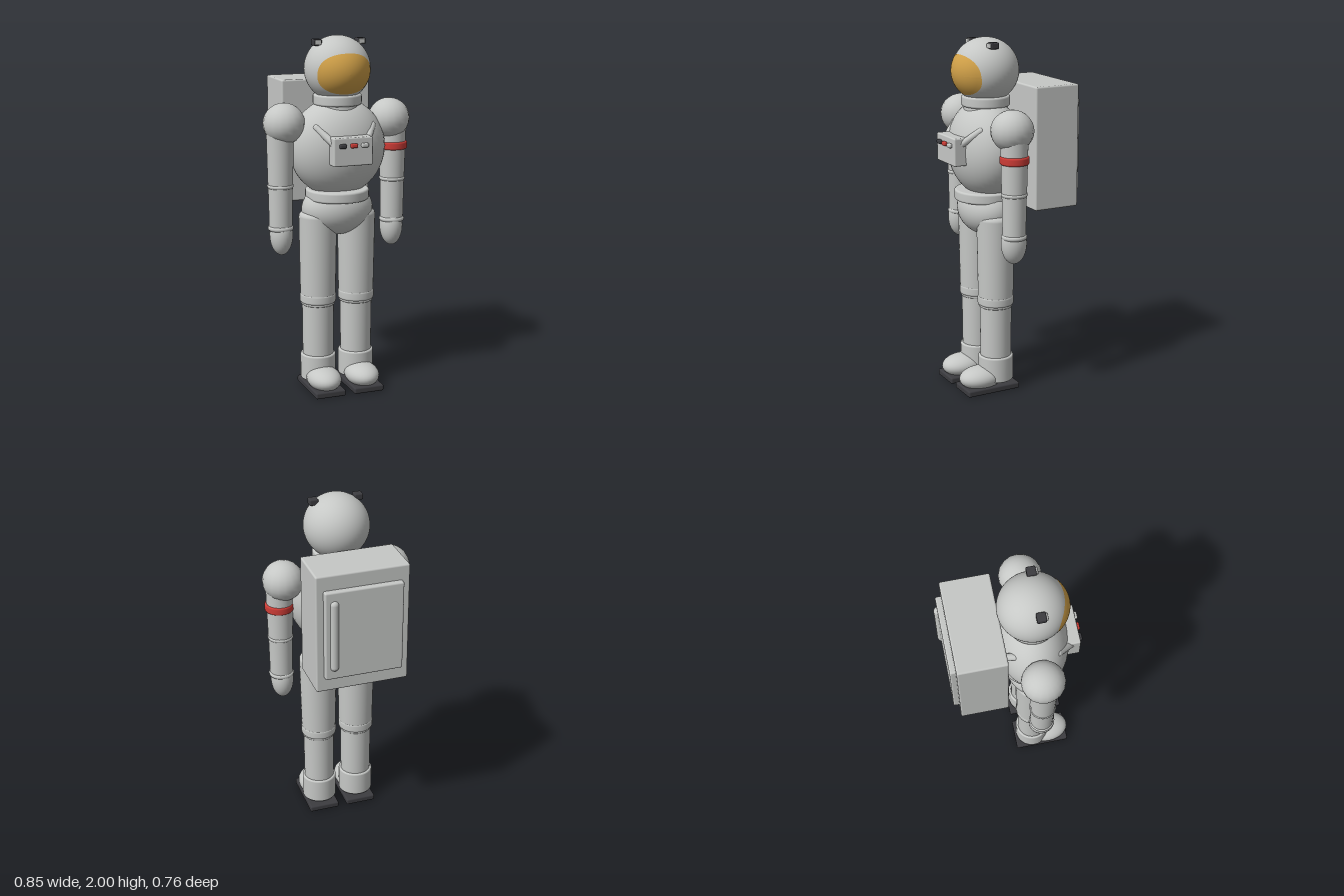
import * as THREE from 'three';
import { RoundedBoxGeometry } from 'three/addons/geometries/RoundedBoxGeometry.js';

const material = (name, color) => {
  const m = new THREE.MeshStandardMaterial({ color });
  m.name = name;
  return m;
};

export function createModel() {
  const suit = material('suit grey', 0xc6c8c6);
  const gold = material('visor gold', 0xd0a048);
  const red = material('signal red', 0xcc3c36);
  const dark = material('dark rubber', 0x3c3c40);
  const model = new THREE.Group();
  model.name = 'astronaut';
  const Z = 0.113; // depth of the body axis

  const add = (name, geometry, mat, x, y, z, parent = model) => {
    const mesh = new THREE.Mesh(geometry, mat);
    mesh.name = name;
    mesh.position.set(x, y, z);
    parent.add(mesh);
    return mesh;
  };
  const box = (name, mat, size, pos, radius, parent) =>
    add(name, new RoundedBoxGeometry(...size, 3, radius), mat, ...pos, parent);
  const ellipsoid = (name, mat, radii, pos, parent, w = 40, h = 28) =>
    add(name, new THREE.SphereGeometry(1, w, h).scale(...radii), mat, ...pos, parent);
  // Band with rounded rims and closed ends, from y0 up to y1
  const band = (name, mat, r, y0, y1, x, parent, bevel = 0.012) => {
    const half = (y1 - y0) / 2;
    const b = Math.min(bevel, half);
    const pts = [new THREE.Vector2(0, -half)];
    for (const side of [-1, 1]) {
      for (let i = 0; i <= 4; i++) {
        const a = (side < 0 ? i - 4 : i) * Math.PI / 8;
        pts.push(new THREE.Vector2(r - b + b * Math.cos(a), side * (half - b) + b * Math.sin(a)));
      }
    }
    pts.push(new THREE.Vector2(0, half));
    return add(name, new THREE.LatheGeometry(pts, 32), mat, x, (y0 + y1) / 2, Z, parent);
  };
  const limb = (name, rTop, rBottom, y0, y1, x, parent) =>
    add(name, new THREE.CylinderGeometry(rTop, rBottom, y1 - y0, 32), suit, x, (y0 + y1) / 2, Z, parent);

  // Head
  const head = [0.183, 0.181, 0.186];
  ellipsoid('helmet', suit, head, [0, 1.819, Z], model, 48, 32);
  // Visor: a rounded disc laid just over the helmet surface
  const visor = new THREE.RingGeometry(0.001, 1, 56, 10);
  const p = visor.attributes.position;
  for (let i = 0; i < p.count; i++) {
    const r = Math.hypot(p.getX(i), p.getY(i));
    const a = Math.atan2(p.getY(i), p.getX(i));
    const k = r / Math.pow(Math.abs(Math.cos(a)) ** 2.3 + Math.abs(Math.sin(a)) ** 2.3, 1 / 2.3);
    const x = 0.153 * k * Math.cos(a);
    const y = 0.111 * k * Math.sin(a) - 0.016;
    const depth = Math.sqrt(Math.max(0, 1 - (x / head[0]) ** 2 - (y / head[1]) ** 2));
    p.setXYZ(i, x, y, head[2] * depth + 0.002 + 0.006 * (1 - r * r));
  }
  visor.computeVertexNormals();
  add('visor', visor, gold, 0, 1.819, Z);
  for (const s of [-1, 1]) {
    box('helmetLamp', dark, [0.05, 0.036, 0.05], [s * 0.127, 1.966, 0.13], 0.008);
    box('lampLens', suit, [0.036, 0.026, 0.014], [s * 0.127, 1.966, 0.157], 0.005);
  }

  // Trunk
  band('neckRing', suit, 0.135, 1.622, 1.682, 0);
  limb('neck', 0.12, 0.125, 1.56, 1.63, 0);
  ellipsoid('torso', suit, [0.274, 0.275, 0.2], [0, 1.385, Z]);
  band('waistRing', suit, 0.178, 1.095, 1.155, 0);
  ellipsoid('hips', suit, [0.205, 0.15, 0.152], [0, 1.04, Z]);

  // Chest control box
  box('chestBox', suit, [0.226, 0.155, 0.076], [0, 1.397, 0.323], 0.008);
  [dark, red, suit].forEach((mat, i) =>
    box('button', mat, [0.042, 0.025, 0.022], [(i - 1) * 0.063, 1.431, 0.367], 0.009));

  // Backpack with rear panel and handle
  box('backpack', suit, [0.524, 0.69, 0.27], [0, 1.4, -0.195], 0.01);
  box('backpackPanel', suit, [0.44, 0.52, 0.04], [0, 1.4, -0.342], 0.01);
  add('backpackHandle', new THREE.CapsuleGeometry(0.025, 0.37, 6, 16), suit, 0.168, 1.4, -0.356);

  for (const s of [-1, 1]) {
    // Hoses from the backpack through the shoulders to the chest box
    const joints = [[0.13, 1.53, -0.09], [0.155, 1.53, 0.06], [0.162, 1.515, 0.225], [0.09, 1.43, 0.32]]
      .map(([x, y, z]) => new THREE.Vector3(s * x, y, z));
    for (let i = 0; i < 3; i++) {
      add('hose', new THREE.TubeGeometry(new THREE.LineCurve3(joints[i], joints[i + 1]), 1, 0.02, 14), suit, 0, 0, 0);
    }
    ellipsoid('hoseJoint', suit, [0.02, 0.02, 0.02], joints[2].toArray(), model, 14, 10);

    // Arm
    const arm = new THREE.Group();
    arm.name = s > 0 ? 'leftArm' : 'rightArm';
    model.add(arm);
    const ax = s * 0.333;
    ellipsoid('shoulder', suit, [0.115, 0.113, 0.119], [s * 0.31, 1.531, Z], arm, 18, 14);
    limb('upperArm', 0.076, 0.069, 1.19, 1.5, ax, arm);
    band('elbowRing', suit, 0.073, 1.175, 1.2, ax, arm);
    limb('forearm', 0.068, 0.064, 0.95, 1.185, ax, arm);
    band('wristRing', suit, 0.071, 0.938, 0.965, ax, arm);
    ellipsoid('glove', suit, [0.064, 0.115, 0.073], [s * 0.33, 0.912, Z], arm, 28, 20);
    if (s > 0) band('armBand', red, 0.081, 1.355, 1.4, 0.336, arm, 0.01);

    // Leg
    const leg = new THREE.Group();
    leg.name = s > 0 ? 'leftLeg' : 'rightLeg';
    model.add(leg);
    const lx = s * 0.115;
    limb('thigh', 0.107, 0.099, 0.52, 1.0, lx, leg);
    ellipsoid('thighTop', suit, [0.107, 0.05, 0.107], [lx, 1.0, Z], leg, 32, 16);
    band('kneeRing', suit, 0.102, 0.505, 0.56, lx, leg);
    band('lowerKneeRing', suit, 0.097, 0.492, 0.512, lx, leg);
    limb('shin', 0.09, 0.087, 0.15, 0.5, lx, leg);
    band('bootCuff', suit, 0.1, 0.055, 0.203, lx, leg, 0.01);
    ellipsoid('bootToe', suit, [0.095, 0.066, 0.13], [lx, 0.077, 0.208], leg, 32, 20);
    box('sole', dark, [0.178, 0.037, 0.325], [lx, 0.0185, 0.166], 0.01, leg);
  }
  return model;
}
